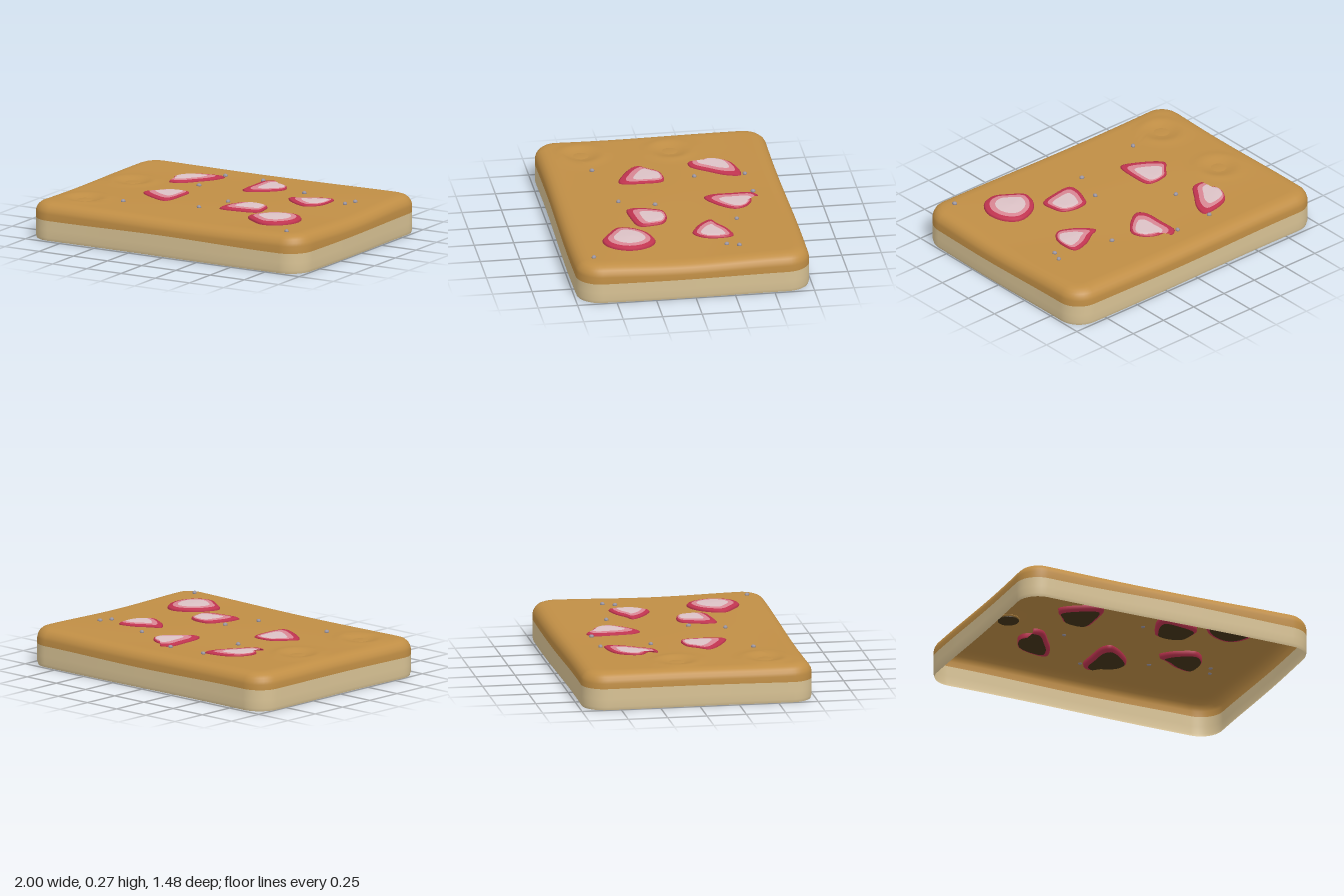
import * as THREE from 'three';

const paint = (name, color) =>
  new THREE.MeshStandardMaterial({ name, color, side: THREE.DoubleSide });

// Dimples pressed into the left of the top crust: x, z
const DIMPLES = [[-0.73, -0.1], [-0.74, 0.46]];

// Gently wavy height of the top crust
function topHeight(x, z) {
  let y = 0.237 + 0.005 * Math.sin(3 * x + 1) * Math.cos(4 * z) + 0.004 * Math.sin(5 * z - 2 * x);
  for (const [dx, dz] of DIMPLES) {
    const r = Math.hypot(x - dx, z - dz);
    y += 0.008 * Math.exp(-(((r - 0.13) / 0.04) ** 2)) - 0.014 * Math.exp(-((r / 0.09) ** 2));
  }
  return y;
}

// Skins a list of closed rings that share the same point count
function skin(rings) {
  const n = rings[0].length, pos = rings.flat(2), index = [];
  for (let i = 0; i < rings.length - 1; i++) {
    for (let j = 0; j < n; j++) {
      const k = (j + 1) % n;
      const a = i * n + j, b = i * n + k, c = a + n, d = b + n;
      index.push(a, c, b, b, c, d);
    }
  }
  const g = new THREE.BufferGeometry();
  g.setAttribute('position', new THREE.Float32BufferAttribute(pos, 3));
  g.setIndex(index);
  g.computeVertexNormals();
  return g;
}

// Rounded rectangle outline with slightly uneven edges, as [x, z] pairs
function slabOutline(inset) {
  const r = 0.15 - inset, cx = 0.85, cz = 0.585, pts = [];
  const corners = [[cx, cz], [-cx, cz], [-cx, -cz], [cx, -cz]];
  corners.forEach(([x, z], q) => {
    for (let i = 0; i <= 10; i++) {
      const a = (q + i / 10) * Math.PI / 2;
      pts.push([x + r * Math.cos(a), z + r * Math.sin(a)]);
    }
    const [x0, z0] = pts[pts.length - 1];
    const [nx, nz] = corners[(q + 1) % 4];
    const e = (q + 1) * Math.PI / 2;
    const x1 = nx + r * Math.cos(e), z1 = nz + r * Math.sin(e);
    for (let i = 1; i < 30; i++) pts.push([x0 + (x1 - x0) * i / 30, z0 + (z1 - z0) * i / 30]);
  });
  return pts.map(([x, z]) => [
    x + 0.004 * Math.sin(5 * z + 1) - 0.003 * Math.sign(x),
    z - 0.006 * Math.sin(3 * x) * Math.sign(-z)]);
}

export function createModel() {
  const model = new THREE.Group();
  model.name = 'toppedSlab';
  const crust = paint('golden crust', 0xc08e45);
  const cream = paint('pale dough', 0xd8c294);
  const crimson = paint('berry skin', 0xc03450);
  const pink = paint('berry flesh', 0xd98794);
  const pale = paint('berry core', 0xdcc2c6);
  const dark = paint('dark underside', 0x46361a);
  const grey = paint('grey crumb', 0x98929e);

  const add = (parent, name, geometry, material) => {
    const mesh = new THREE.Mesh(geometry, material);
    mesh.name = name;
    parent.add(mesh);
    return mesh;
  };

  // Open-bottomed pale sides
  const side = [[0.006, 0], [0, 0.02], [0, 0.07], [0, 0.133]].map(([inset, y]) =>
    slabOutline(inset).map(([x, z]) => [x, y + (y > 0.1 ? 0.004 * Math.sin(4 * x + 2 * z) : 0), z]));
  add(model, 'paleSides', skin(side), cream);

  // Golden crust: rounded shoulder, then rings closing over the top
  const shoulder = [[0, 0.17], [0.005, 0.19], [0.017, 0.21], [0.035, 0.225], [0.06, 0.234], [0.09, 0.237]];
  const cap = [side[3], ...shoulder.map(([inset, y]) =>
    slabOutline(inset).map(([x, z]) => [x, y * topHeight(x, z) / 0.237, z]))];
  const rim = slabOutline(0.09);
  for (let i = 1; i <= 50; i++) {
    const s = 1 - i / 50;
    cap.push(rim.map(([x, z]) => [x * s, topHeight(x * s, z * s), z * s]));
  }
  add(model, 'goldenCrust', skin(cap), crust);

  // Round buttons sitting in the dimples
  for (const [x, z] of DIMPLES) {
    const button = add(model, 'dimpleButton', new THREE.SphereGeometry(0.07, 28, 14), crust);
    button.scale.y = 0.12;
    button.position.set(x, topHeight(x, z) - 0.002, z);
    const under = add(model, 'dimpleUnderside', new THREE.CylinderGeometry(0.066, 0.066, 0.006, 28), dark);
    under.position.set(x, topHeight(x, z) - 0.013, z);
  }

  // Berry slices: core position, extra lift and outline, all as x, z pairs
  const berries = [
    { core: [-0.52, -0.33], lift: 0.9, edge: [-0.55, -0.33, -0.5, -0.43, -0.41, -0.475, -0.285, -0.48, -0.295, -0.4,
      -0.365, -0.29, -0.45, -0.185, -0.515, -0.185, -0.485, -0.235, -0.54, -0.28] },
    { core: [0.16, -0.42], lift: 0.8, edge: [-0.015, -0.51, 0.04, -0.54, 0.04, -0.495, 0.11, -0.49, 0.19, -0.44,
      0.215, -0.365, 0.14, -0.265, 0.03, -0.2, -0.01, -0.24, -0.02, -0.375] },
    { core: [0.6, -0.17], lift: 0.9, edge: [0.36, -0.19, 0.42, -0.22, 0.51, -0.275, 0.62, -0.295, 0.64, -0.21,
      0.62, -0.11, 0.555, -0.05, 0.47, -0.08, 0.395, -0.135] },
    { core: [-0.34, 0.05], lift: 0.7, edge: [-0.395, 0.02, -0.25, 0.015, -0.23, 0.13, -0.255, 0.29, -0.37, 0.255,
      -0.5, 0.15, -0.45, 0.08] },
    { core: [0.33, 0.13], lift: 1, edge: [0.2, 0.09, 0.29, 0.075, 0.38, 0.11, 0.405, 0.18, 0.405, 0.265,
      0.27, 0.305, 0.15, 0.305, 0.14, 0.24, 0.17, 0.145] },
    { core: [0.585, 0.35], lift: 1.4, edge: [0.62, 0.2, 0.685, 0.22, 0.74, 0.295, 0.75, 0.4, 0.69, 0.5,
      0.595, 0.53, 0.5, 0.48, 0.42, 0.41, 0.44, 0.32, 0.51, 0.24] },
  ];
  // Colour bands of a slice: distance from the core, offset from the crust
  const bands = [
    ['berryUnderside', dark, [[0, -0.03], [0.84, -0.03]]],
    ['berrySkin', crimson, [[0.84, -0.03], [0.98, -0.024], [1, 0.003], [0.95, 0.01], [0.8, 0.014]]],
    ['berryFlesh', pink, [[0.8, 0.014], [0.7, 0.0155], [0.6, 0.017]]],
    ['berryCore', pale, [[0.6, 0.017], [0.3, 0.019], [0, 0.02]]],
  ];
  for (const { core: [cx, cz], lift, edge } of berries) {
    const slice = new THREE.Group();
    slice.name = 'berrySlice';
    model.add(slice);
    const knots = [];
    for (let i = 0; i < edge.length; i += 2) knots.push(new THREE.Vector3(edge[i], 0, edge[i + 1]));
    const outline = new THREE.CatmullRomCurve3(knots, true).getPoints(60).slice(0, 60);
    for (const [name, material, rows] of bands) {
      add(slice, name, skin(rows.map(([s, h]) => outline.map((p) => {
        const x = cx + (p.x - cx) * s, z = cz + (p.z - cz) * s;
        return [x, topHeight(x, z) + (h > 0 ? h * lift : h), z];
      }))), material);
    }
  }

  // Scattered crumbs
  const crumbs = [[-0.3, -0.51], [-0.03, -0.52], [0.37, -0.355], [0.77, -0.31], [0.74, -0.235],
    [-0.3, -0.19], [0.1, 0.12], [0.02, 0.34], [-0.48, 0.43], [0.83, 0.62]];
  const crumbShape = new THREE.SphereGeometry(0.016, 10, 8);
  crumbs.forEach(([x, z], i) => {
    const crumb = add(model, 'crumb', crumbShape, grey);
    crumb.position.set(x, topHeight(x, z) + 0.004, z);
    crumb.scale.set(1, 0.8, 0.85);
    crumb.rotation.y = i * 1.3;
  });

  return model;
}
